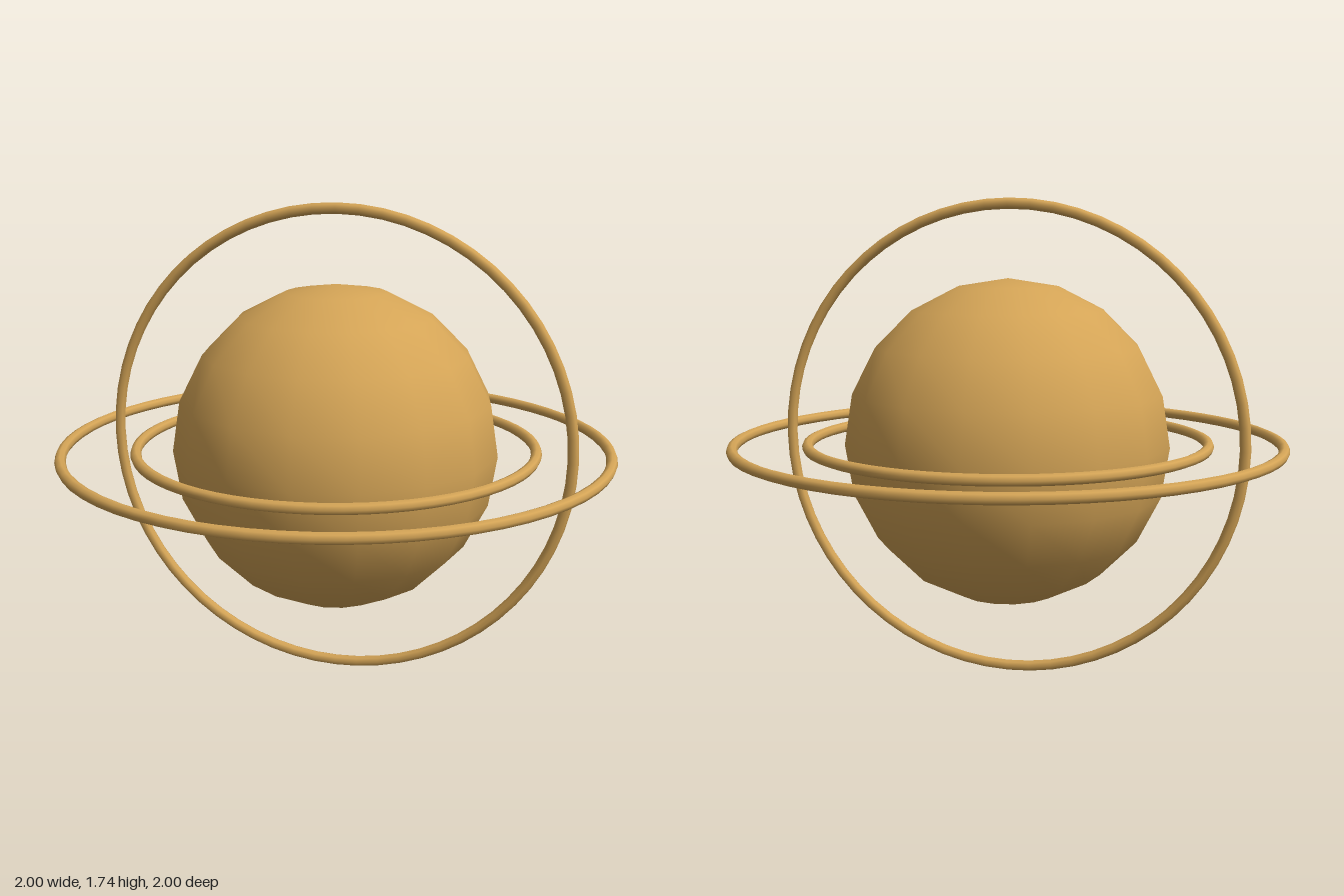
import * as THREE from 'three';

const CENTRE_Y = 0.869;
const TUBE = 0.0196;

export function createModel() {
  const model = new THREE.Group();
  model.name = 'ringedGlobe';
  const brass = new THREE.MeshStandardMaterial({ color: 0xd4a456 });
  brass.name = 'brass';

  // Smooth-shaded globe with a coarse outline
  const globe = new THREE.Mesh(new THREE.SphereGeometry(0.588, 16, 10), brass);
  globe.name = 'globe';
  globe.position.y = CENTRE_Y;
  model.add(globe);

  // Thin rings sharing the globe's centre
  const addRing = (name, radius, flat) => {
    const geometry = new THREE.TorusGeometry(radius, TUBE, 8, 64);
    geometry.rotateZ(Math.PI / 2);
    if (flat) geometry.rotateX(Math.PI / 2);
    const ring = new THREE.Mesh(geometry, brass);
    ring.name = name;
    ring.position.y = CENTRE_Y;
    model.add(ring);
  };
  addRing('innerHorizontalRing', 0.719, true);
  addRing('verticalRing', 0.8495, false);
  addRing('outerHorizontalRing', 0.9804, true);

  return model;
}
